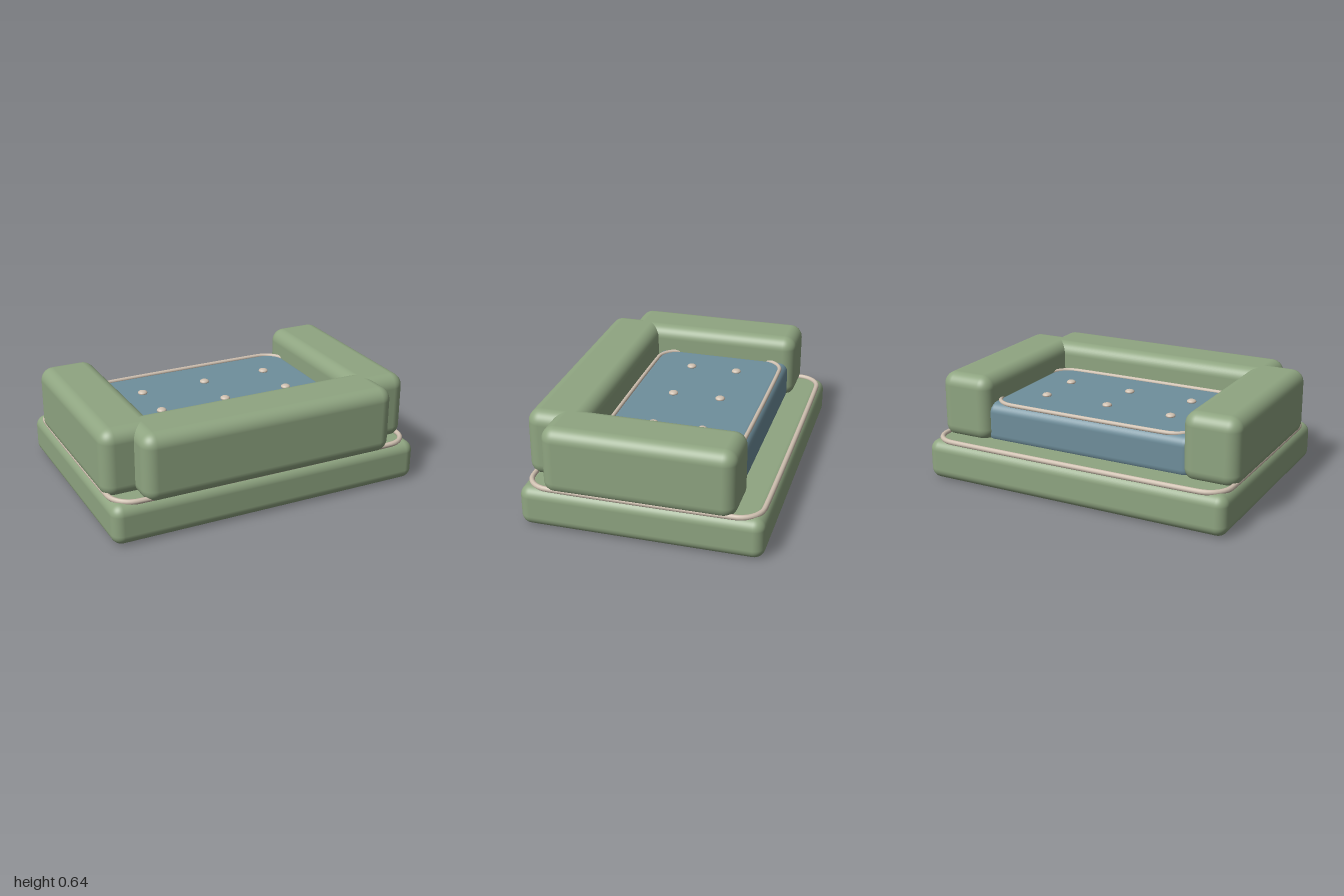
import * as THREE from 'three';
import { RoundedBoxGeometry } from 'three/addons/geometries/RoundedBoxGeometry.js';

const fabric = new THREE.MeshStandardMaterial({ color: 0x8fa581 });
const cushionFabric = new THREE.MeshStandardMaterial({ color: 0x6f8f9c });
const trim = new THREE.MeshStandardMaterial({ color: 0xcfc0b0 });

// Rounded block given by its extents on each axis
function block(name, [x0, x1], [y0, y1], [z0, z1], radius, material) {
  const geometry = new RoundedBoxGeometry(x1 - x0, y1 - y0, z1 - z0, 6, radius);
  const mesh = new THREE.Mesh(geometry, material);
  mesh.position.set((x0 + x1) / 2, (y0 + y1) / 2, (z0 + z1) / 2);
  mesh.name = name;
  return mesh;
}

// Closed cord running round a horizontal rounded rectangle
function piping(name, halfX, z0, z1, y, corner, radius) {
  const points = [];
  const centres = [
    [halfX - corner, z1 - corner], [corner - halfX, z1 - corner],
    [corner - halfX, z0 + corner], [halfX - corner, z0 + corner],
  ];
  centres.forEach(([cx, cz], quarter) => {
    for (let i = 0; i <= 8; i++) {
      const a = (quarter + i / 8) * Math.PI / 2;
      points.push(new THREE.Vector3(cx + corner * Math.cos(a), y, cz + corner * Math.sin(a)));
    }
  });
  const path = new THREE.CatmullRomCurve3(points, true, 'centripetal');
  const mesh = new THREE.Mesh(new THREE.TubeGeometry(path, 240, radius, 10, true), trim);
  mesh.name = name;
  return mesh;
}

export function createModel() {
  const model = new THREE.Group();
  model.name = 'petBed';

  // Base mattress and its edge cord
  model.add(block('base', [-1, 1], [0, 0.25], [-0.735, 0.72], 0.065, fabric));
  model.add(piping('basePiping', 0.97, -0.703, 0.685, 0.252, 0.14, 0.016));

  // Side and front bolsters
  model.add(block('leftBolster', [0.65, 1], [0.225, 0.645], [-0.57, 0.575], 0.08, fabric));
  model.add(block('rightBolster', [-1, -0.65], [0.225, 0.645], [-0.57, 0.575], 0.08, fabric));
  model.add(block('frontBolster', [-0.81, 0.81], [0.225, 0.645], [0.37, 0.732], 0.08, fabric));

  // Inner cushion and its edge cord
  model.add(block('cushion', [-0.7, 0.7], [0.22, 0.48], [-0.53, 0.368], 0.06, cushionFabric));
  model.add(piping('cushionPiping', 0.665, -0.497, 0.333, 0.48, 0.14, 0.013));

  // Tufting buttons
  const buttonGeometry = new THREE.SphereGeometry(0.03, 20, 12);
  for (const x of [-0.43, 0, 0.43]) {
    for (const z of [-0.23, 0.073]) {
      const button = new THREE.Mesh(buttonGeometry, trim);
      button.name = 'button';
      button.scale.y = 0.5;
      button.position.set(x, 0.485, z);
      model.add(button);
    }
  }
  return model;
}
